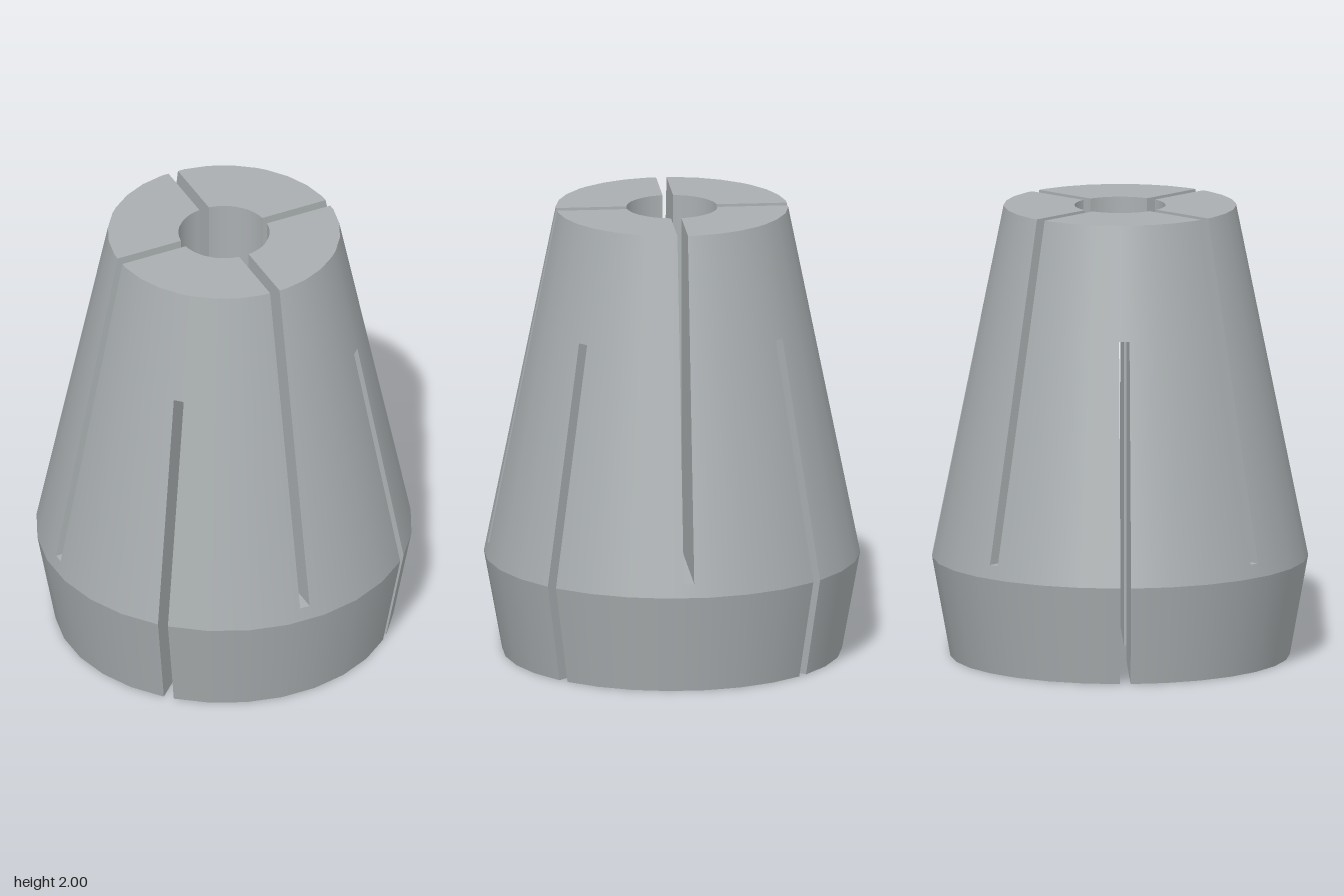
import * as THREE from 'three';

const W = 0.023;            // half width of every slot
const BORE = 0.2;
const D = Math.SQRT1_2;
// outer profile: radius and height
const PROFILE = [[0.745, 0], [0.825, 0.44], [0.51, 2]];
const LOW_SLOT_TOP = 1.5, HIGH_SLOT_BOTTOM = 0.5;

function outerRadius(y) {
  const [a, b] = y < PROFILE[1][1] ? [PROFILE[0], PROFILE[1]] : [PROFILE[1], PROFILE[2]];
  return a[0] + (b[0] - a[0]) * (y - a[1]) / (b[1] - a[1]);
}

// One eighth of a ring, from the axis slot (0 deg) to the diagonal slot (45 deg)
function arc(r, y, axisSlot, diagonalSlot, isBore) {
  const s = Math.asin(W / r), pts = [];
  const at = (x, z) => pts.push(new THREE.Vector3(x, y, z));
  const step = isBore ? (Math.PI / 4 - 2 * s) / 4 : (Math.PI / 2 - 2 * s) / 7;
  if (!axisSlot) at(r * Math.cos(s), 0);
  for (let k = 0; k < (isBore ? 5 : 4); k++) at(r * Math.cos(s + k * step), r * Math.sin(s + k * step));
  const mid = r * Math.cos(isBore ? s : step / 2);
  if (!isBore) at((mid + W) * D, (mid - W) * D);
  if (!diagonalSlot) at(mid * D, mid * D);
  return pts;
}

// Collects quads, repeating each one in all eight mirrored sectors
class Surface {
  constructor() { this.pos = []; this.nor = []; }
  quad(points, normals) {
    for (let o = 0; o < 8; o++) {
      const turn = Math.floor(o / 2) * Math.PI / 2;
      const place = (v) => (o % 2 ? new THREE.Vector3(v.z, v.y, v.x) : v.clone())
        .applyAxisAngle(new THREE.Vector3(0, 1, 0), turn);
      const p = points.map(place), n = normals.map(place);
      for (const t of [[0, 1, 2], [0, 2, 3]]) {
        const face = p[t[1]].clone().sub(p[t[0]]).cross(p[t[2]].clone().sub(p[t[0]]));
        if (face.length() < 1e-9) continue;
        const order = face.dot(n[t[0]]) < 0 ? [t[0], t[2], t[1]] : t;
        for (const i of order) {
          this.pos.push(...p[i].toArray());
          this.nor.push(...n[i].toArray());
        }
      }
    }
  }
  flat(a, b, c, d, n) { this.quad([a, b, c, d], [n, n, n, n]); }
  mesh(name, material) {
    const g = new THREE.BufferGeometry();
    g.setAttribute('position', new THREE.Float32BufferAttribute(this.pos, 3));
    g.setAttribute('normal', new THREE.Float32BufferAttribute(this.nor, 3));
    const m = new THREE.Mesh(g, material);
    m.name = name;
    return m;
  }
}

export function createModel() {
  const steel = new THREE.MeshStandardMaterial({ color: 0xa9aeb0 });
  steel.name = 'steel grey';
  const shell = new Surface(), bore = new Surface(), walls = new Surface(), ends = new Surface();
  const up = new THREE.Vector3(0, 1, 0), down = new THREE.Vector3(0, -1, 0);
  const axisWall = new THREE.Vector3(0, 0, -1), diagonalWall = new THREE.Vector3(-D, 0, D);

  // Bands between the heights where the slots or the taper change
  const levels = [0, PROFILE[1][1], HIGH_SLOT_BOTTOM, LOW_SLOT_TOP, 2];
  for (let i = 0; i < 4; i++) {
    const y0 = levels[i], y1 = levels[i + 1];
    const low = y1 <= LOW_SLOT_TOP, high = y0 >= HIGH_SLOT_BOTTOM;
    const r0 = outerRadius(y0), r1 = outerRadius(y1);
    const o0 = arc(r0, y0, low, high, false), o1 = arc(r1, y1, low, high, false);
    const b0 = arc(BORE, y0, low, high, true), b1 = arc(BORE, y1, low, high, true);
    const slope = (r0 - r1) / (y1 - y0);
    const outward = (p) => new THREE.Vector3(p.x, slope * Math.hypot(p.x, p.z), p.z).normalize();
    const inward = (p) => new THREE.Vector3(-p.x, 0, -p.z).normalize();
    const last = o0.length - 1;
    for (let k = 0; k < last; k++) {
      const o = [o0[k], o0[k + 1], o1[k + 1], o1[k]];
      const b = [b0[k], b0[k + 1], b1[k + 1], b1[k]];
      shell.quad(o, o.map(outward));
      bore.quad(b, b.map(inward));
      // flat end faces
      if (y0 === 0) ends.flat(o0[k], o0[k + 1], b0[k + 1], b0[k], down);
      if (y1 === 2) ends.flat(o1[k], o1[k + 1], b1[k + 1], b1[k], up);
    }
    // slot side walls
    if (low) walls.flat(o0[0], o1[0], b1[0], b0[0], axisWall);
    if (high) walls.flat(o0[last], o1[last], b1[last], b0[last], diagonalWall);
    // closed ends of the slots
    if (y0 === LOW_SLOT_TOP) walls.flat(o0[0], o0[1], b0[1], b0[0], down);
    if (y1 === HIGH_SLOT_BOTTOM) walls.flat(o1[last - 1], o1[last], b1[last], b1[last - 1], up);
  }

  const model = new THREE.Group();
  model.name = 'slottedCollet';
  model.add(shell.mesh('taperedShell', steel), bore.mesh('centreBore', steel),
    walls.mesh('slotWalls', steel), ends.mesh('endFaces', steel));
  return model;
}
